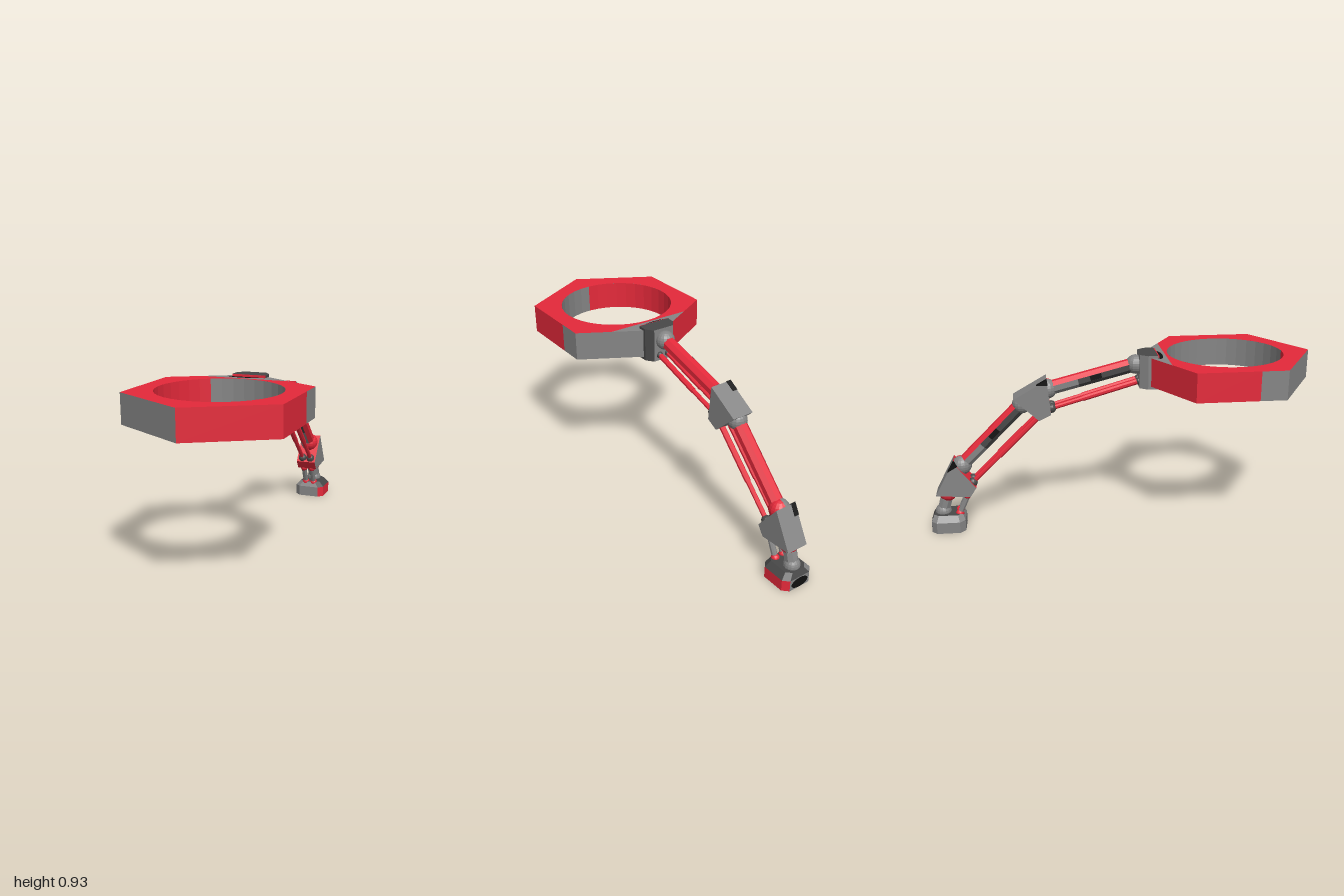
import * as THREE from 'three';

const flat = (name, color) => {
  const m = new THREE.MeshStandardMaterial({ color, flatShading: true, side: THREE.DoubleSide });
  m.name = name;
  return m;
};

export function createModel() {
  const red = flat('red', 0xe4293a), gray = flat('gray', 0x858585);
  const dark = flat('darkGray', 0x484848), black = flat('black', 0x101010);
  const model = new THREE.Group();
  const V = (x, y, z) => new THREE.Vector3(x, y, z);

  const add = (name, geo, mat, pos) => {
    const m = new THREE.Mesh(geo, mat);
    m.name = name;
    if (pos) m.position.copy(pos);
    model.add(m);
    return m;
  };

  // Convex solid from flat faces [material, corners], each turned to face outward
  const solid = (name, faces) => {
    const all = faces.flatMap(f => f[1]);
    const mid = all.reduce((s, p) => s.add(p), V(0, 0, 0)).divideScalar(all.length);
    const pos = [], geo = new THREE.BufferGeometry(), mats = [];
    faces.forEach(([mat, pts]) => {
      const start = pos.length / 3;
      const n = pts[1].clone().sub(pts[0]).cross(pts[2].clone().sub(pts[0]));
      const p = n.dot(pts[0].clone().sub(mid)) < 0 ? [...pts].reverse() : pts;
      for (let i = 1; i < p.length - 1; i++) [p[0], p[i], p[i + 1]].forEach(v => pos.push(v.x, v.y, v.z));
      if (!mats.includes(mat)) mats.push(mat);
      geo.addGroup(start, pos.length / 3 - start, mats.indexOf(mat));
    });
    geo.setAttribute('position', new THREE.Float32BufferAttribute(pos, 3));
    geo.computeVertexNormals();
    return add(name, geo, mats);
  };

  // Side walls between two matching loops
  const walls = (a, b, mats) => a.map((p, i) => {
    const j = (i + 1) % a.length;
    return [mats[i % mats.length], [p, a[j], b[j], b[i]]];
  });

  // Rod between two points; a sector given in eighths colours part of its girth
  const rod = (name, a, b, r, mat, from = 0, count = 8) => {
    const d = b.clone().sub(a);
    const geo = new THREE.CylinderGeometry(r, r, d.length(), count, 1, count < 8,
      (from + 0.5) * Math.PI / 4, count * Math.PI / 4);
    const m = add(name, geo, mat, a.clone().lerp(b, 0.5));
    m.quaternion.setFromUnitVectors(V(0, 1, 0), d.normalize());
    return m;
  };
  const ball = (name, p, r, mat) => add(name, new THREE.SphereGeometry(r, 16, 12), mat, p);

  // Hexagonal ring: caps with a gray wedge, outer walls, round bore
  const R = 0.447, W = 0.386, H = R / 2, cz = 0.551, y0 = 0.77, y1 = 0.918, cut = -0.315;
  const cutX = (R + cut) / (R - H) * W;
  const shape = new THREE.Shape([[0, R], [W, H], [W, -H], [cutX, cut], [-cutX, cut], [-W, -H], [-W, H]]
    .map(([x, z]) => new THREE.Vector2(x, -z)));
  shape.holes.push(new THREE.Path().absarc(0, 0, 0.3, 0, Math.PI * 2, false));
  const wedge = new THREE.Shape([[-cutX, cut], [0, -R], [cutX, cut]].map(([x, z]) => new THREE.Vector2(x, -z)));
  [[y1, -1], [y0, 1]].forEach(([y, s]) => {
    [[shape, red], [wedge, gray]].forEach(([sh, mat]) =>
      add('ringCap', new THREE.ShapeGeometry(sh, 18), mat, V(0, y, cz)).rotation.x = s * Math.PI / 2);
  });
  const outline = [[0, R], [W, H], [W, -0.09], [W, -H], [0, -R], [-W, -H], [-W, 0.09], [-W, H]];
  const loop = y => outline.map(([x, z]) => V(x, y, z + cz));
  solid('ringOuterWall', walls(loop(y0), loop(y1), [red, red, gray, gray, red, red, gray, gray]));
  const split = Math.PI * 212 / 180;
  [[0, split, gray, 20], [split, Math.PI * 2 - split, red, 14]].forEach(([start, len, mat, seg]) => {
    const bore = new THREE.CylinderGeometry(0.3, 0.3, y1 - y0, seg, 1, true, start, len);
    bore.setIndex([...bore.index.array].reverse());
    add('ringBore', bore, mat, V(0, (y0 + y1) / 2, cz));
  });
  const spot = add('ringSpot', new THREE.CircleGeometry(0.08, 16), black, V(-0.025, y1 + 0.001, 0.2));
  spot.rotation.x = -Math.PI / 2;
  spot.scale.y = 0.26;

  // Wrist block behind the ring, with a red lip in front
  const plan = [[0.088, 0.19], [0.088, 0.14], [0.058, 0.1], [-0.058, 0.1], [-0.088, 0.14], [-0.088, 0.19]];
  const lo = plan.map(([x, z]) => V(x, 0.755, z)), hi = plan.map(([x, z]) => V(x, 0.93, z));
  solid('wristBlock', [...walls(lo, hi, [dark, dark, gray, gray, gray, red]), [dark, hi], [dark, lo]]);
  add('wristLip', new THREE.BoxGeometry(0.17, 0.172, 0.008), red, V(0, 0.8425, 0.192));

  // Base foot: octagonal wall with a chamfered top
  const octagon = (y, w, d, c) => [[w, d - c], [w, c - d], [w - c, -d], [c - w, -d],
    [-w, c - d], [-w, d - c], [c - w, d], [w - c, d]].map(([x, z]) => V(x, y, z - 0.912));
  const b0 = octagon(0, 0.088, 0.088, 0.028), b1 = octagon(0.06, 0.088, 0.088, 0.028);
  const b2 = octagon(0.09, 0.06, 0.074, 0.024);
  solid('baseFoot', [
    ...walls(b0, b1, [red, red, gray, gray, gray, gray, gray, red]),
    ...walls(b1, b2, [dark, dark, dark, gray, gray, gray, gray, dark]),
    [red, b0], [dark, b2]]);
  const footSpot = add('baseSpot', new THREE.CylinderGeometry(0.036, 0.036, 0.004, 14), black, V(0, 0.029, -1));
  footSpot.rotation.x = Math.PI / 2;
  footSpot.scale.set(1.4, 1, 0.75);

  // Joint blocks: side profile given as [z, y], starting at the top
  const joint = (name, profile) => {
    const side = x => profile.map(([z, y]) => V(x, y, z));
    const l = side(0.058), r = side(-0.058);
    solid(name, [...walls(l, r, [gray, gray, red, red]), [gray, l], [gray, r]]);
    // dark patch wrapped round the top corner
    const [t, b, , f] = side(0), p = b.clone().lerp(t, 0.7), q = f.clone().lerp(t, 0.84);
    t.add(V(0, 0.003, 0.001));
    p.add(V(0, 0.002, -0.001));
    q.add(V(0, 0, 0.002));
    const outer = [t, p, q].map(v => v.clone().setX(-0.06));
    const inner = [t, p, q].map(v => v.clone().setX(-0.033));
    solid(name + 'Spot', [...walls(outer, inner, [black]), [black, outer], [black, inner]]);
  };
  joint('elbowBlock', [[-0.374, 0.812], [-0.545, 0.715], [-0.417, 0.597], [-0.355, 0.628]]);
  joint('shoulderBlock', [[-0.87, 0.387], [-0.968, 0.204], [-0.79, 0.19], [-0.757, 0.24]]);

  // Links: one thick tube with a dark and gray underside, and a pair of thin rods below it
  const link = (name, a, b, c, d, sleeve) => {
    const change = a.clone().lerp(b, 0.65);
    rod(name + 'Tube', a, b, 0.037, red, 6, 5);
    const under = rod(name + 'TubeUnderside', a, change, 0.037, dark, 3, 3);
    rod(name + 'TubeUndersideEnd', change, b, 0.037, gray, 3, 3);
    const mark = new THREE.Mesh(new THREE.BoxGeometry(0.003, 0.06, 0.026), black);
    mark.name = name + 'TubeSpot';
    mark.position.set(-0.034, 0.06, 0);
    under.add(mark);
    ball(name + 'NearBall', a, 0.05, gray);
    // far ball: red on the left half, gray on the right half
    [[Math.PI / 2, red], [-Math.PI / 2, gray]].forEach(([phi, mat]) =>
      add(name + 'FarBall', new THREE.SphereGeometry(0.052, 8, 12, phi, Math.PI), mat, b));
    [-0.025, 0.025].forEach(x => {
      const p = c.clone().setX(x), q = d.clone().setX(x);
      rod(name + 'Rod', p, q, 0.012, red);
      rod(name + 'RodSleeve', p, p.clone().lerp(q, sleeve), 0.015, red);
      ball(name + 'RodNearBall', p, 0.018, dark);
      ball(name + 'RodFarBall', q, 0.025, dark);
    });
  };
  link('forearm', V(0, 0.868, 0.085), V(0, 0.752, -0.372), V(0, 0.785, 0.1), V(0, 0.655, -0.352), 0.64);
  link('upperArm', V(0, 0.676, -0.503), V(0, 0.352, -0.828), V(0, 0.617, -0.412), V(0, 0.262, -0.775), 0.6);

  // Short neck between shoulder and foot
  rod('neckTube', V(0, 0.2, -0.91), V(0, 0.1, -0.94), 0.034, gray);
  ball('neckUpperBall', V(0, 0.2, -0.91), 0.047, red);
  ball('neckLowerBall', V(0, 0.095, -0.94), 0.042, gray);
  [-0.025, 0.025].forEach(x => {
    rod('neckRod', V(x, 0.19, -0.805), V(x, 0.088, -0.852), 0.015, gray);
    ball('neckRodUpperBall', V(x, 0.19, -0.808), 0.021, red);
    ball('neckRodLowerBall', V(x, 0.086, -0.853), 0.022, red);
  });

  return model;
}
